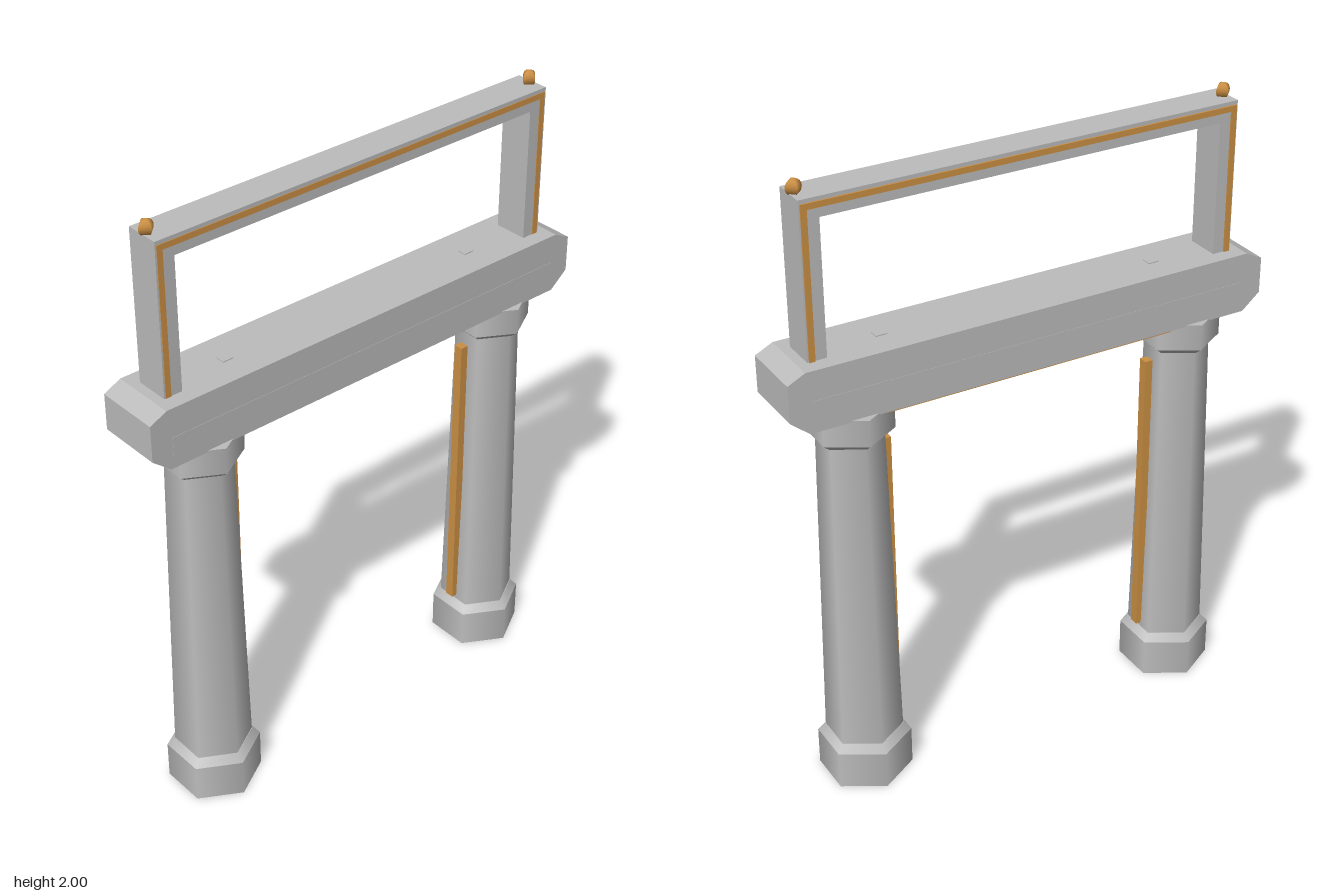
import * as THREE from 'three';

export function createModel() {
  const stone = new THREE.MeshStandardMaterial({ color: 0xbcbcbc });
  stone.name = 'stone grey';
  const bronze = new THREE.MeshStandardMaterial({ color: 0xcc9044 });
  bronze.name = 'bronze';

  const model = new THREE.Group();
  model.name = 'gateway';

  const add = (parent, name, geometry, material, x = 0, y = 0, z = 0) => {
    const mesh = new THREE.Mesh(geometry, material);
    mesh.name = name;
    mesh.position.set(x, y, z);
    parent.add(mesh);
    return mesh;
  };
  // Box given by its centre in x and z and its bottom and top
  const box = (parent, name, material, w, y0, y1, d, x = 0, z = 0) =>
    add(parent, name, new THREE.BoxGeometry(w, y1 - y0, d), material, x, (y0 + y1) / 2, z);
  // Six-sided drum with a corner towards the front
  const drum = (parent, name, r0, r1, y0, y1, open = false) =>
    add(parent, name, new THREE.CylinderGeometry(r1, r0, y1 - y0, 6, 1, open), stone, 0, (y0 + y1) / 2, 0);

  for (const side of [-1, 1]) {
    // Column: plinth, tapering shaft and flared capital
    const column = new THREE.Group();
    column.name = side > 0 ? 'leftColumn' : 'rightColumn';
    column.position.x = side * 0.562;
    model.add(column);
    drum(column, 'plinth', 0.145, 0.145, 0, 0.125);
    drum(column, 'plinthBevel', 0.145, 0.122, 0.125, 0.15);
    drum(column, 'shaft', 0.12, 0.1, 0.15, 1.19, true);
    drum(column, 'capitalFlare', 0.105, 0.13, 1.19, 1.21);
    drum(column, 'capital', 0.13, 0.13, 1.21, 1.295);

    // Bronze strip on the inner face of the column
    box(model, 'columnStrip', bronze, 0.026, 0.165, 1.15, 0.03, side * 0.453);

    // Upper frame post with a ball finial of four sides
    box(model, 'framePost', stone, 0.06, 1.48, 1.9, 0.11, side * 0.675);
    add(model, 'finial', new THREE.SphereGeometry(0.025, 4, 10), bronze, side * 0.69, 1.975, 0);

    // Small peg on top of the beam
    box(model, 'beamPeg', stone, 0.036, 1.47, 1.485, 0.03, side * 0.457);
  }

  // Beam with chamfered ends
  const profile = new THREE.Shape([
    [-0.73, 1.29], [0.73, 1.29], [0.79, 1.34], [0.79, 1.455],
    [0.735, 1.482], [-0.735, 1.482], [-0.79, 1.455], [-0.79, 1.34],
  ].map(([x, y]) => new THREE.Vector2(x, y)));
  const beam = new THREE.ExtrudeGeometry(profile, { depth: 0.21, bevelEnabled: false });
  add(model, 'beam', beam, stone, 0, 0, -0.105);
  box(model, 'beamPanel', stone, 1.44, 1.33, 1.39, 0.212);
  box(model, 'beamSoffit', bronze, 0.96, 1.275, 1.292, 0.17);

  // Top rail of the upper frame
  box(model, 'frameRail', stone, 1.41, 1.9, 1.96, 0.11);

  // Bronze lines on both faces of the upper frame
  for (const z of [-0.057, 0.054]) {
    box(model, 'railTrim', bronze, 1.4, 1.93, 1.948, 0.006, 0, z);
    for (const side of [-1, 1])
      box(model, 'postTrim', bronze, 0.018, 1.48, 1.93, 0.006, side * 0.691, z);
  }

  return model;
}
